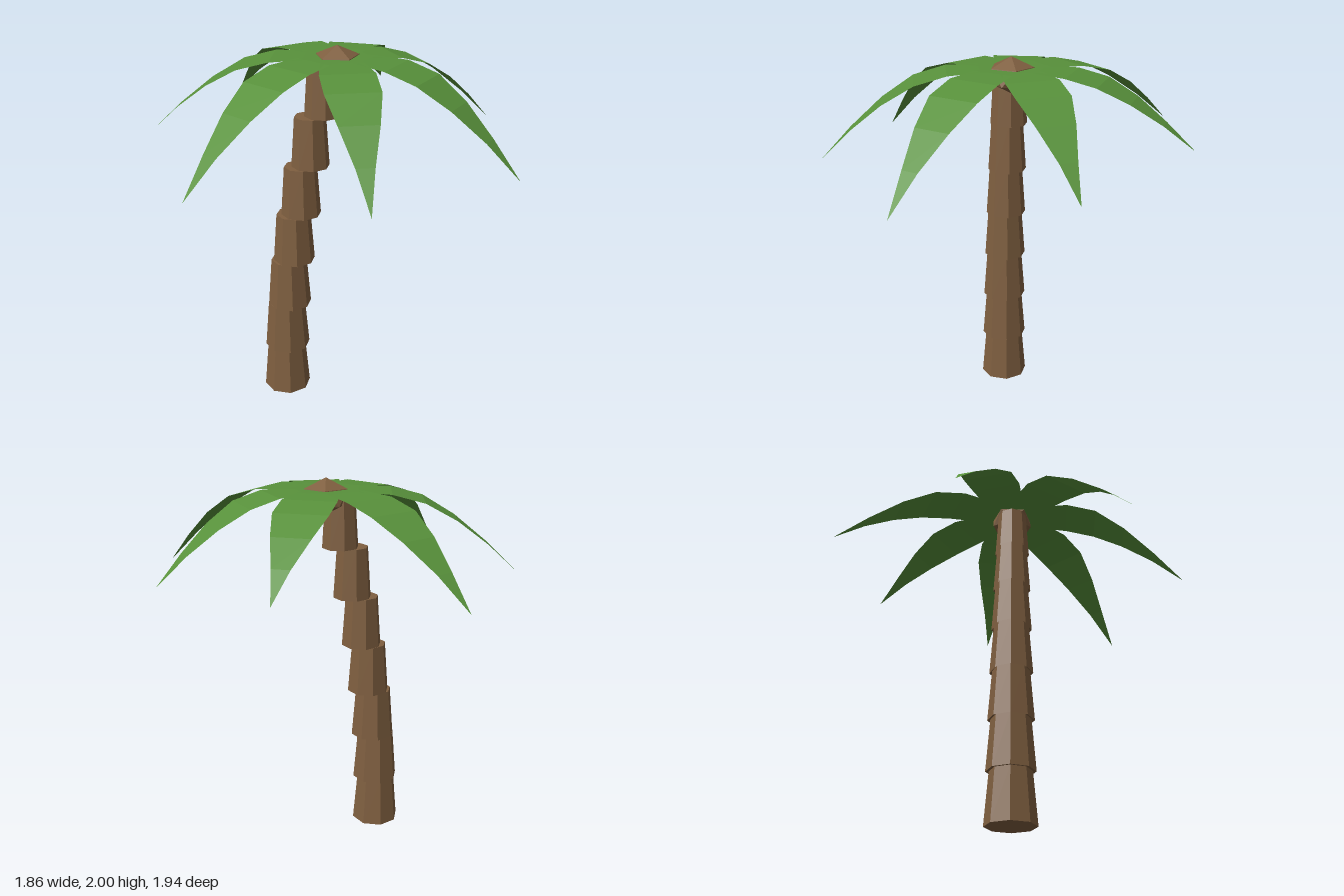
import * as THREE from 'three';

export function createModel() {
  const model = new THREE.Group();
  model.name = 'palmTree';

  const bark = new THREE.MeshStandardMaterial({ color: 0x7f5f40, flatShading: true });
  bark.name = 'bark brown';
  const leaf = new THREE.MeshStandardMaterial({ color: 0x58913b, flatShading: true, side: THREE.DoubleSide });
  leaf.name = 'leaf green';

  // Trunk: seven tapered eight-sided segments following a leaning curve
  const trunk = new THREE.Group();
  trunk.name = 'trunk';
  const segmentHeight = 0.2727;
  for (let i = 0; i < 7; i++) {
    const radius = 0.132 - 0.0058 * i;
    const segment = new THREE.Mesh(
      new THREE.CylinderGeometry(radius * 0.82, radius, segmentHeight, 8), bark);
    segment.name = 'trunkSegment' + (i + 1);
    segment.position.set(-0.255 + 0.006 * i * i, segmentHeight * (i + 0.5), -0.013);
    trunk.add(segment);
  }
  model.add(trunk);

  // Crown knob: a flattened icosahedron standing on one corner
  const knobGeometry = new THREE.IcosahedronGeometry(1, 0);
  knobGeometry.rotateX(-Math.atan((1 + Math.sqrt(5)) / 2));
  knobGeometry.rotateY(0.384);
  knobGeometry.scale(0.13, 0.094, 0.13);
  const knob = new THREE.Mesh(knobGeometry, bark);
  knob.name = 'crownKnob';
  knob.position.set(0.037, 1.906, -0.016);
  model.add(knob);

  // Fronds: thin drooping strips from the crown to a pointed tip
  const halfWidths = [0.06, 0.11, 0.137, 0.136, 0.097, 0.045, 0];
  const droop = [0, 0, 0.02, 0.12, 0.34, 0.64, 1];
  const root = new THREE.Vector3(0.037, 1.945, -0.016);

  function frondGeometry(tip) {
    const across = new THREE.Vector3(tip.z - root.z, 0, root.x - tip.x).normalize();
    const positions = [];
    const indices = [];
    halfWidths.forEach((w, k) => {
      const p = root.clone().lerp(tip, k / 6);
      p.y = THREE.MathUtils.lerp(root.y, tip.y, droop[k]);
      for (const side of [-1, 1]) {
        positions.push(p.x + across.x * w * side, p.y, p.z + across.z * w * side);
      }
      if (k < 6) {
        const a = 2 * k;
        indices.push(a, a + 2, a + 1);
        if (k < 5) indices.push(a + 1, a + 2, a + 3);
      }
    });
    const geometry = new THREE.BufferGeometry();
    geometry.setAttribute('position', new THREE.Float32BufferAttribute(positions, 3));
    geometry.setIndex(indices);
    // Wind every strip so that its top is the front face
    const flat = geometry.toNonIndexed();
    flat.computeVertexNormals();
    if (flat.attributes.normal.getY(0) < 0) {
      geometry.setIndex(indices.slice().reverse());
      const flipped = geometry.toNonIndexed();
      flipped.computeVertexNormals();
      return flipped;
    }
    return flat;
  }

  const tips = [
    [0.01, 1.485, 0.97], [0.81, 1.46, 0.63], [0.925, 1.525, -0.2], [0.465, 1.6, -0.86],
    [-0.395, 1.54, -0.97], [-0.93, 1.515, -0.265], [-0.78, 1.455, 0.6],
  ];
  const fronds = new THREE.Group();
  fronds.name = 'fronds';
  tips.forEach((t, i) => {
    const frond = new THREE.Mesh(frondGeometry(new THREE.Vector3(...t)), leaf);
    frond.name = 'frond' + (i + 1);
    fronds.add(frond);
  });
  model.add(fronds);

  return model;
}
